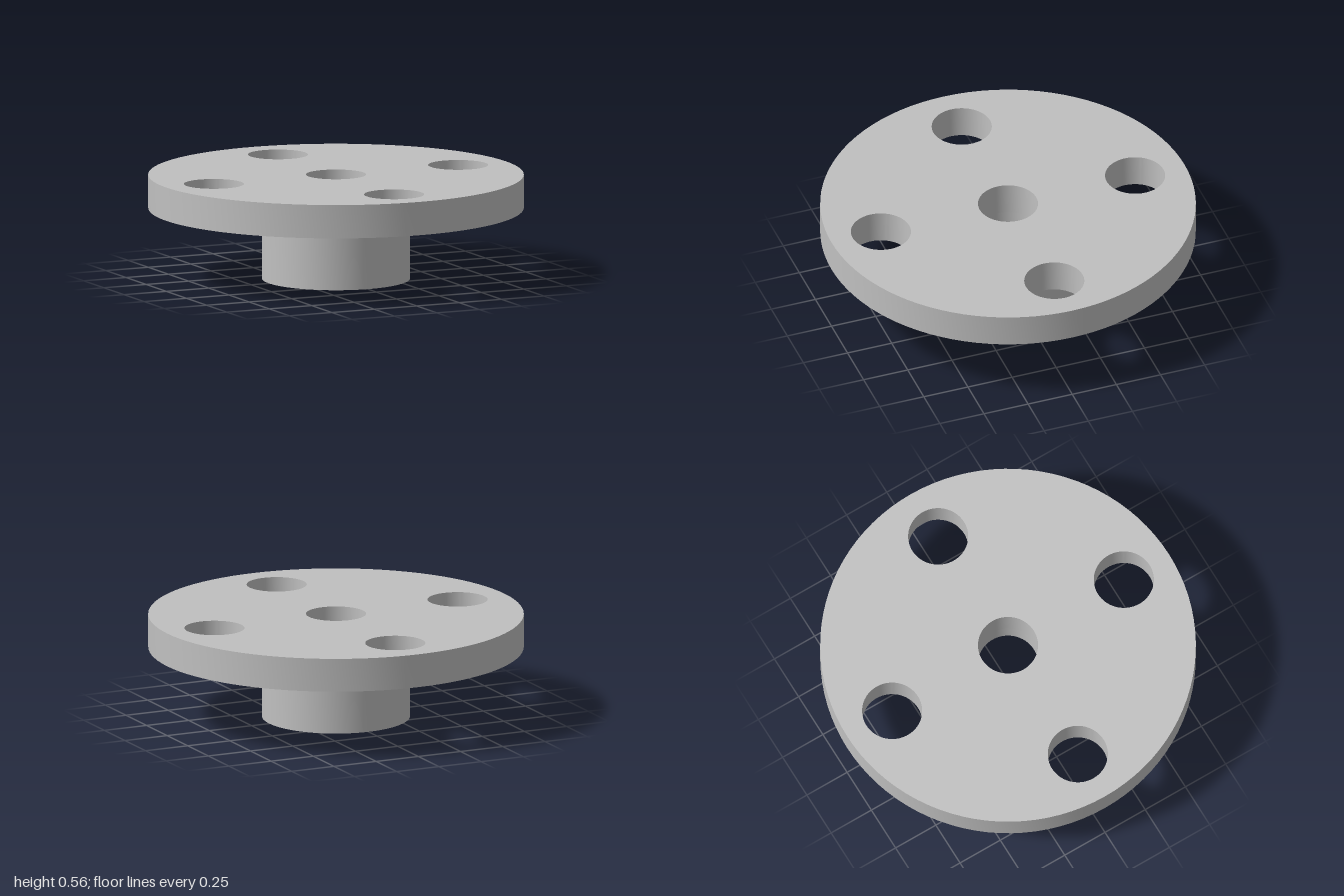
import * as THREE from 'three';
import { toCreasedNormals } from 'three/addons/utils/BufferGeometryUtils.js';

const FLANGE_BOTTOM = 0.38, FLANGE_TOP = 0.56;
const HUB_RADIUS = 0.395, HOLE_RADIUS = 0.16, BOLT_CIRCLE = 0.72;
const BORE_RADIUS = 0.26, BORE_DEPTH = 0.27;

function circleHole(x, y, radius) {
  return new THREE.Path().absarc(x, y, radius, 0, Math.PI * 2, true);
}

export function createModel() {
  const model = new THREE.Group();
  model.name = 'flangedHub';
  const steel = new THREE.MeshStandardMaterial({ color: 0xc0c0c0 });
  steel.name = 'light grey';

  const add = (name, geometry) => {
    const mesh = new THREE.Mesh(toCreasedNormals(geometry, Math.PI / 6), steel);
    mesh.name = name;
    model.add(mesh);
  };

  // Round flange with a centre hole and four bolt holes
  const disc = new THREE.Shape().absarc(0, 0, 1, 0, Math.PI * 2);
  disc.holes.push(circleHole(0, 0, HOLE_RADIUS));
  for (let i = 0; i < 4; i++) {
    const a = i * Math.PI / 2;
    disc.holes.push(circleHole(BOLT_CIRCLE * Math.cos(a), BOLT_CIRCLE * Math.sin(a), HOLE_RADIUS));
  }
  const flange = new THREE.ExtrudeGeometry(disc, {
    depth: FLANGE_TOP - FLANGE_BOTTOM, bevelEnabled: false, curveSegments: 48,
  });
  flange.rotateX(-Math.PI / 2).translate(0, FLANGE_BOTTOM, 0);
  add('flange', flange);

  // Hub below the flange, with a stepped bore that is wider at the bottom
  const profile = [
    [HOLE_RADIUS, FLANGE_BOTTOM],
    [HOLE_RADIUS, BORE_DEPTH],
    [BORE_RADIUS, BORE_DEPTH],
    [BORE_RADIUS, 0],
    [HUB_RADIUS, 0],
    [HUB_RADIUS, FLANGE_BOTTOM],
  ].map(([r, y]) => new THREE.Vector2(r, y));
  add('hub', new THREE.LatheGeometry(profile, 96));

  return model;
}
